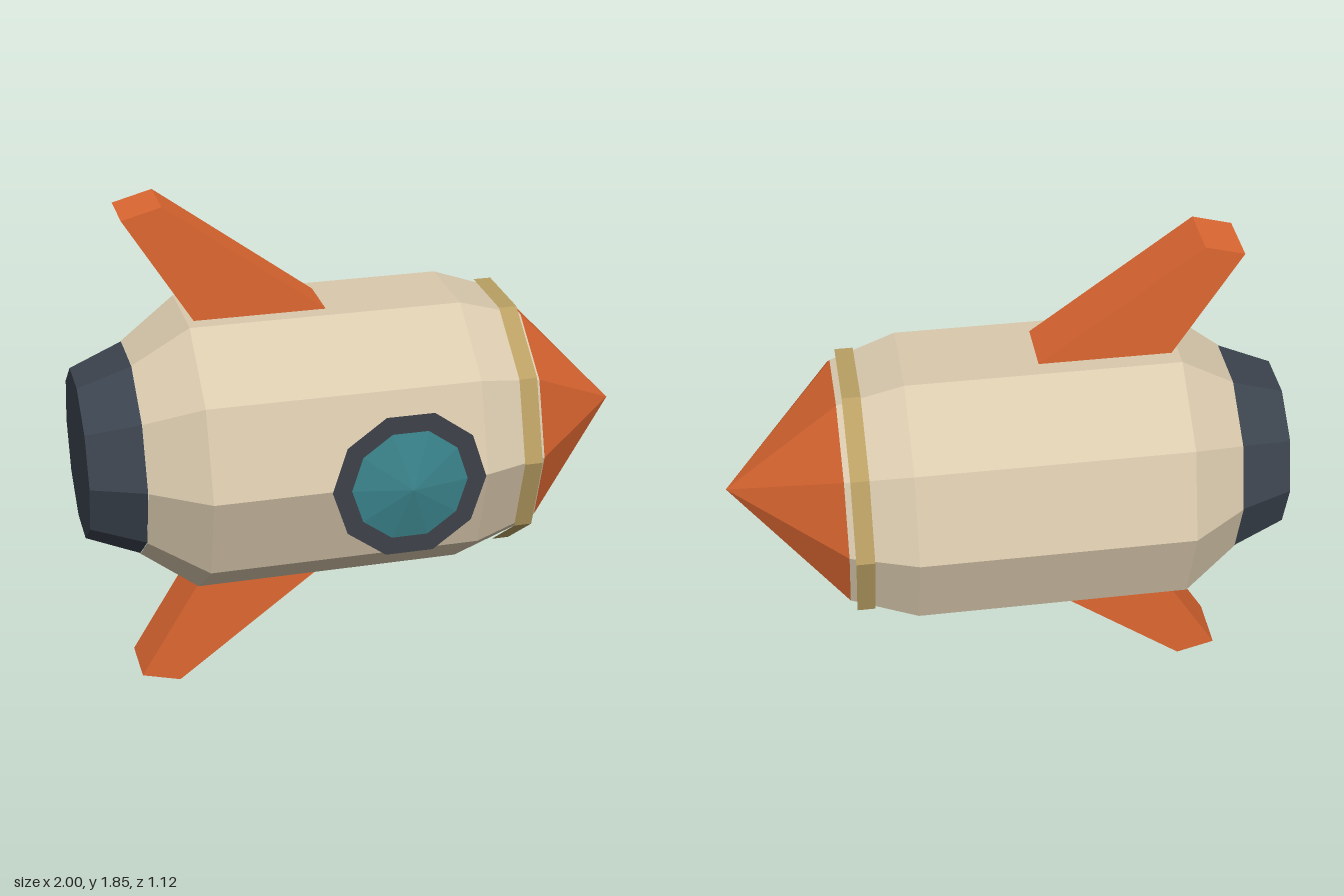
import * as THREE from 'three';

const SIDES = 10;
const CY = 0.925, CZ = -0.03; // long axis of the hull

const mat = (name, color) => new THREE.MeshStandardMaterial({ name, color, flatShading: true });

export function createModel() {
  const cream = mat('cream hull', 0xd9c9ad);
  const orange = mat('orange', 0xdd6731);
  const brass = mat('brass', 0xb99f63);
  const slate = mat('slate', 0x3b434e);
  const frameGrey = mat('frame grey', 0x3d4149);
  const teal = mat('teal glass', 0x3a838b);

  const group = new THREE.Group();
  const add = (name, geometry, material, x = 0, y = 0, z = 0) => {
    const mesh = new THREE.Mesh(geometry, material);
    mesh.name = name;
    mesh.position.set(x, y, z);
    group.add(mesh);
    return mesh;
  };

  // Ten-sided part turned around the x axis; profile is [x, radius] from tail to nose
  const turned = (name, profile, material) => {
    const points = profile.map(([x, r]) => new THREE.Vector2(r, x));
    const geometry = new THREE.LatheGeometry(points, SIDES).rotateZ(-Math.PI / 2);
    return add(name, geometry, material, 0, CY, CZ);
  };

  turned('hull', [[-0.81, 0.385], [-0.61, 0.53], [0.36, 0.53], [0.595, 0.45]], cream);
  turned('noseCone', [[0.595, 0.45], [1, 0]], orange);
  turned('noseBand', [[0.51, 0.488], [0.575, 0.488]], brass); // open sleeve
  turned('engine', [[-1, 0], [-1, 0.306], [-0.81, 0.383]], slate);

  // Round window: flat frame and a shallow pointed pane
  add('windowFrame', new THREE.RingGeometry(0.2, 0.275, SIDES, 1), frameGrey, 0.075, CY, 0.509);
  const pane = new THREE.ConeGeometry(0.207, 0.045, SIDES, 1, true)
    .rotateX(Math.PI / 2).rotateZ(Math.PI / 2);
  add('windowPane', pane, teal, 0.075, CY, 0.5325);

  // Swept fins above and below
  for (const side of [1, -1]) {
    const outline = [[-0.573, 0.485], [-0.09, 0.485], [-0.68, 0.923], [-0.82, 0.885]];
    const shape = new THREE.Shape(outline.map(([x, y]) => new THREE.Vector2(x, y * side)));
    const fin = new THREE.ExtrudeGeometry(shape, { depth: 0.206, bevelEnabled: false });
    add(side > 0 ? 'upperFin' : 'lowerFin', fin, orange, 0, CY + 0.001, CZ - 0.103);
  }

  return group;
}
